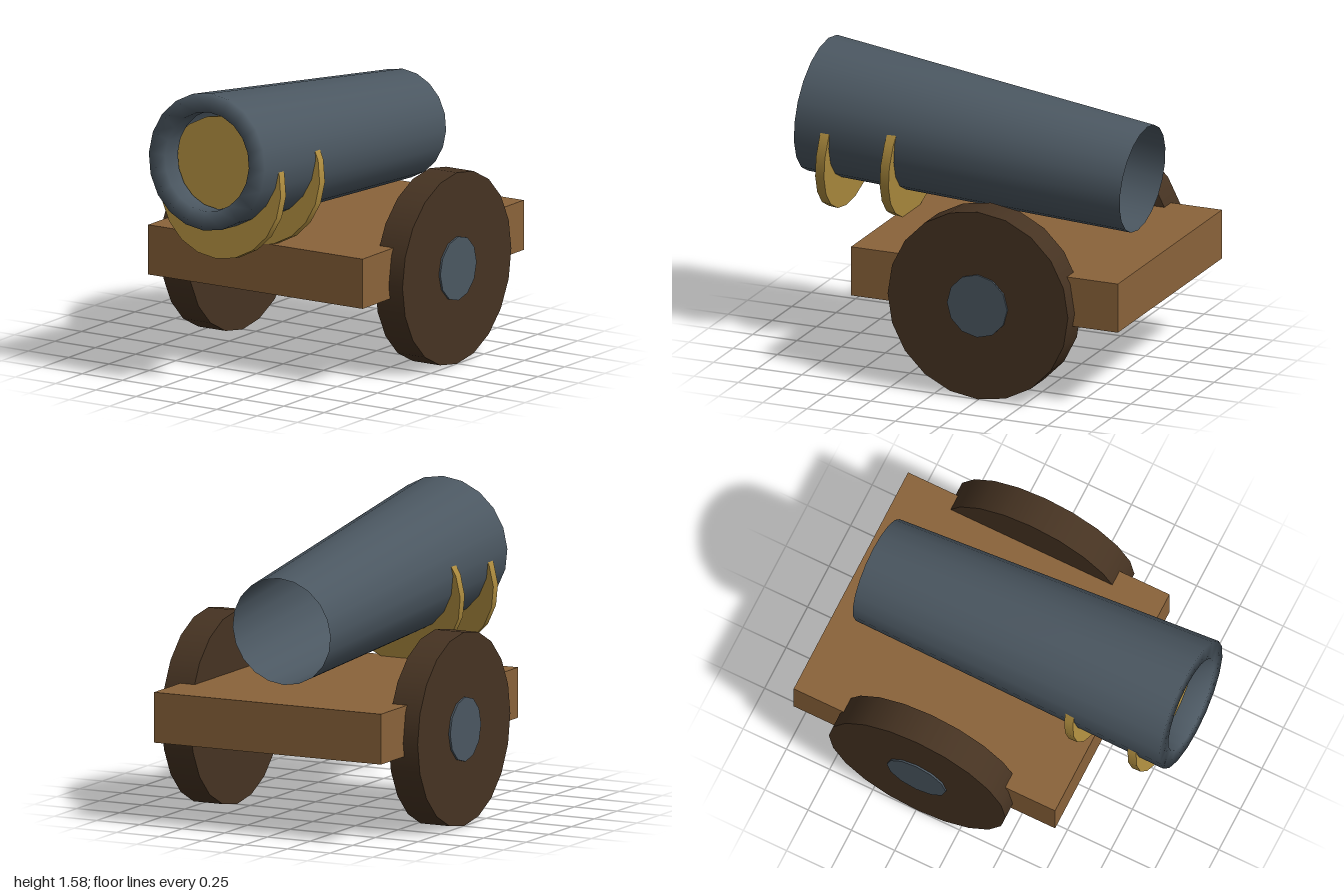
import * as THREE from 'three';

export function createModel() {
  const model = new THREE.Group();
  model.name = 'cannon';

  const material = (name, color, side = THREE.FrontSide) => {
    const m = new THREE.MeshStandardMaterial({ color, side });
    m.name = name;
    return m;
  };
  const steel = material('steel', 0x4b5761, THREE.DoubleSide);
  const brass = material('brass', 0xb08e40);
  const wood = material('wood', 0x8a633a);
  const darkWood = material('darkWood', 0x463322);

  const add = (name, geometry, mat, x, y, z) => {
    const mesh = new THREE.Mesh(geometry, mat);
    mesh.name = name;
    mesh.position.set(x, y, z);
    model.add(mesh);
    return mesh;
  };

  // Carriage bed
  add('carriage', new THREE.BoxGeometry(1.33, 0.265, 1.51), wood, 0, 0.5715, -0.245);

  // Barrel: open tapered shell with a thick, softly shaded muzzle lip
  const length = 1.818;
  const profile = [
    [0.286, 0], [0.36, length], [0.26, length], [0.26, length - 0.12],
  ].map(([r, h]) => new THREE.Vector2(r, h));
  const barrel = add('barrel', new THREE.LatheGeometry(profile, 20), steel, 0, 1.055, -0.845);
  barrel.rotation.x = Math.PI / 2 - 0.094;

  // Two solid brass discs running through the barrel as cradles
  const disc = new THREE.CylinderGeometry(0.373, 0.373, 0.05, 20);
  [['frontCradle', 0.812], ['rearCradle', 0.447]].forEach(([name, z]) => {
    add(name, disc, brass, 0, 1.06, z).rotation.x = Math.PI / 2 - 0.115;
  });

  // Wheels and hubs, mirrored left and right
  const wheel = new THREE.CylinderGeometry(0.51, 0.51, 0.17, 20).rotateZ(Math.PI / 2);
  const hub = new THREE.CylinderGeometry(0.17, 0.17, 0.19, 12).rotateZ(Math.PI / 2);
  [['left', 1], ['right', -1]].forEach(([side, s]) => {
    add(side + 'Wheel', wheel, darkWood, s * 0.665, 0.51, -0.245);
    add(side + 'Hub', hub, steel, s * 0.665, 0.51, -0.245);
  });

  return model;
}
